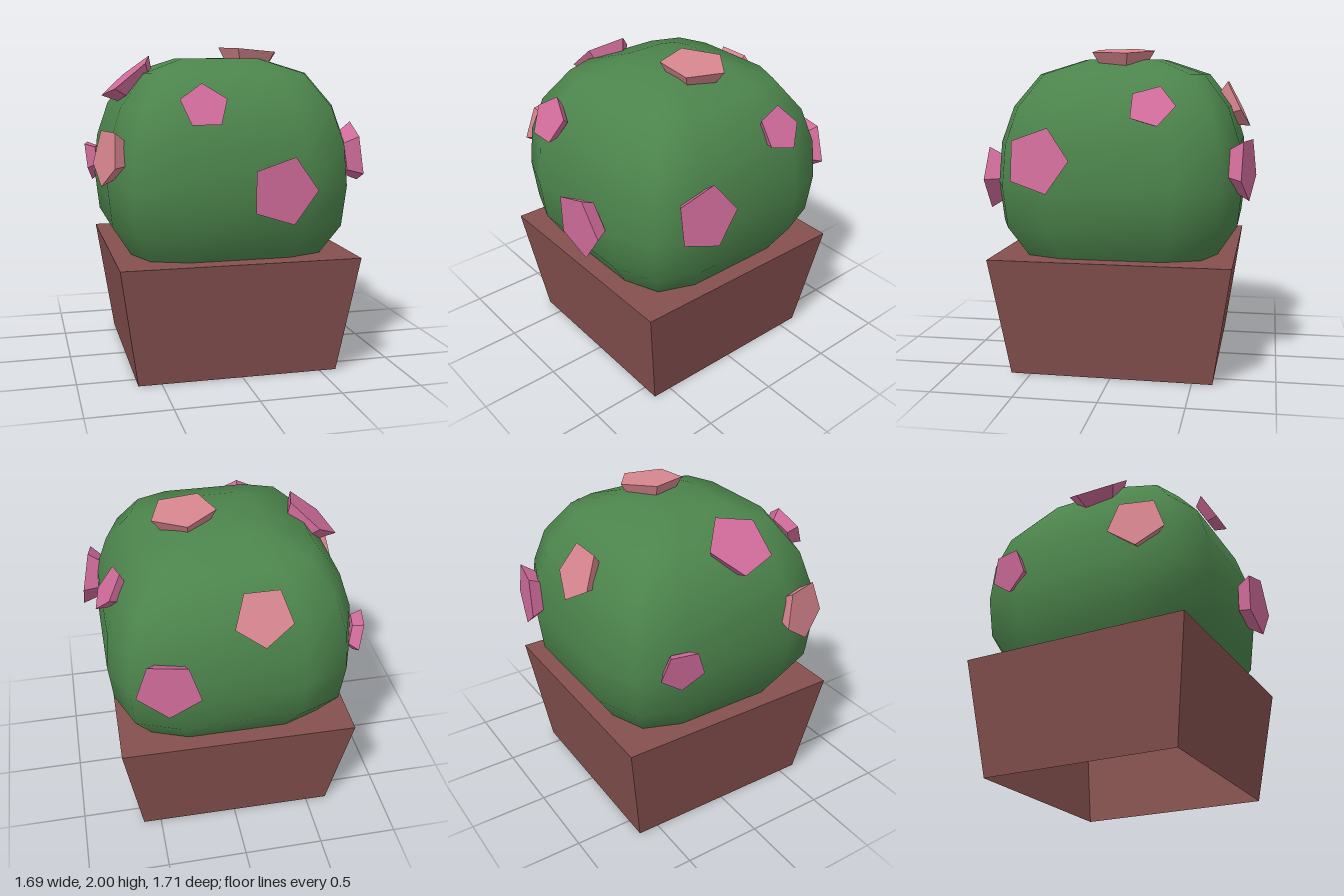
import * as THREE from 'three';

const mat = (name, color, side = THREE.FrontSide) =>
  Object.assign(new THREE.MeshStandardMaterial({ color, side }), { name });

const flat = (geometry) => {
  const g = geometry.toNonIndexed();
  g.computeVertexNormals();
  return g;
};

function addMesh(parent, name, geometry, material) {
  const mesh = new THREE.Mesh(geometry, material);
  mesh.name = name;
  parent.add(mesh);
  return mesh;
}

// Rounded-square cross-sections stacked from the open base to the flat crown
function cactusGeometry() {
  const rings = [[0.715, 0.605], [0.92, 0.735], [1.17, 0.762], [1.42, 0.742],
    [1.64, 0.67], [1.84, 0.515], [1.93, 0.25]];
  const corner = [[1, -0.5], [1, 0.5], [0.86, 0.86]];
  const positions = [], index = [], n = 12;
  for (const [y, w] of rings) {
    for (let q = 0; q < 4; q++) {
      const c = Math.round(Math.cos(q * Math.PI / 2)), s = Math.round(Math.sin(q * Math.PI / 2));
      for (const [a, b] of corner) positions.push((a * c - b * s) * w, y, (a * s + b * c) * w);
    }
  }
  const top = rings.length * n;
  positions.push(0, 1.932, 0);
  for (let i = 0; i < n; i++) {
    const j = (i + 1) % n;
    for (let r = 0; r < rings.length - 1; r++) {
      const a = r * n + i, b = r * n + j;
      index.push(a, a + n, b, b, a + n, b + n);
    }
    index.push(top - n + i, top, top - n + j);
  }
  const g = new THREE.BufferGeometry();
  g.setAttribute('position', new THREE.Float32BufferAttribute(positions, 3));
  g.setIndex(index);
  g.computeVertexNormals();
  return g;
}

// Five-sided flower flaring outwards; tip is the direction of one petal corner
function addFlower(parent, material, centre, normal, radius, tip) {
  const depth = 0.45 * radius;
  const g = new THREE.CylinderGeometry(radius, radius * 0.72, depth, 5);
  g.translate(0, -depth / 2, 0);
  const flower = addMesh(parent, 'flower', flat(g), material);
  const y = new THREE.Vector3(...normal).normalize();
  const z = new THREE.Vector3(...tip).projectOnPlane(y).normalize();
  const x = new THREE.Vector3().crossVectors(y, z);
  flower.quaternion.setFromRotationMatrix(new THREE.Matrix4().makeBasis(x, y, z));
  flower.position.set(...centre);
}

export function createModel() {
  const model = new THREE.Group();
  model.name = 'pottedCactus';
  const clay = mat('clay', 0x84504e, THREE.DoubleSide);
  const green = mat('cactusGreen', 0x4c844c, THREE.DoubleSide);
  const pink = mat('pink', 0xd06c9a);
  const salmon = mat('salmon', 0xd8868f);

  // Tapered square pot, open underneath
  const pot = new THREE.Group();
  pot.name = 'pot';
  pot.position.set(-0.015, 0, -0.005);
  pot.rotation.y = -0.007;
  model.add(pot);
  const walls = new THREE.CylinderGeometry(0.733 * Math.SQRT2, 0.624 * Math.SQRT2, 0.735, 4, 1, true);
  walls.rotateY(Math.PI / 4).translate(0, 0.3675, 0);
  addMesh(pot, 'potWalls', flat(walls), clay);

  // Top of the pot with an opening for the cactus
  const rim = new THREE.Shape();
  const h = 0.733;
  rim.moveTo(-h, -h).lineTo(h, -h).lineTo(h, h).lineTo(-h, h).closePath();
  const w = 0.6, hole = new THREE.Path();
  hole.setFromPoints([[1, -0.5], [1, 0.5], [0.86, 0.86], [0.5, 1], [-0.5, 1], [-0.86, 0.86],
    [-1, 0.5], [-1, -0.5], [-0.86, -0.86], [-0.5, -1], [0.5, -1], [0.86, -0.86]]
    .map(([x, y]) => new THREE.Vector2(x * w, y * w)));
  rim.holes.push(hole);
  addMesh(pot, 'potTop', new THREE.ShapeGeometry(rim).rotateX(-Math.PI / 2).translate(0, 0.735, 0), clay);

  // Cactus body
  addMesh(model, 'cactusBody', cactusGeometry(), green).position.set(-0.013, 0, -0.01);

  // Flowers: colour, centre, outward direction, radius, corner direction
  const back = [0, 0, -1], down = [0, -1, 0];
  const flowers = [
    [pink, [0.18, 1.18, 0.85], [0, -0.02, 1], 0.207, [1, 0, 0]],
    [pink, [-0.26, 1.665, 0.73], [0, 0.49, 0.87], 0.145, [0, 1, 0]],
    [salmon, [-0.795, 1.365, 0.45], [-0.96, 0.15, 0.27], 0.18, down],
    [pink, [-0.81, 1.25, -0.43], [-0.97, -0.15, -0.2], 0.14, down],
    [pink, [-0.61, 1.825, 0.08], [-0.63, 0.78, 0], 0.205, back],
    [salmon, [0.21, 1.983, -0.01], [0.09, 1, 0], 0.205, back],
    [pink, [0.7, 1.66, -0.26], [0.82, 0.57, 0], 0.142, back],
    [pink, [0.8, 1.345, 0.39], [0.98, 0.15, 0.17], 0.2, back],
    [pink, [0.43, 1.29, -0.81], [0.21, 0.03, -0.98], 0.2, down],
    [salmon, [-0.13, 1.665, -0.72], [0, 0.46, -0.89], 0.178, down],
  ];
  for (const f of flowers) addFlower(model, ...f);
  return model;
}
